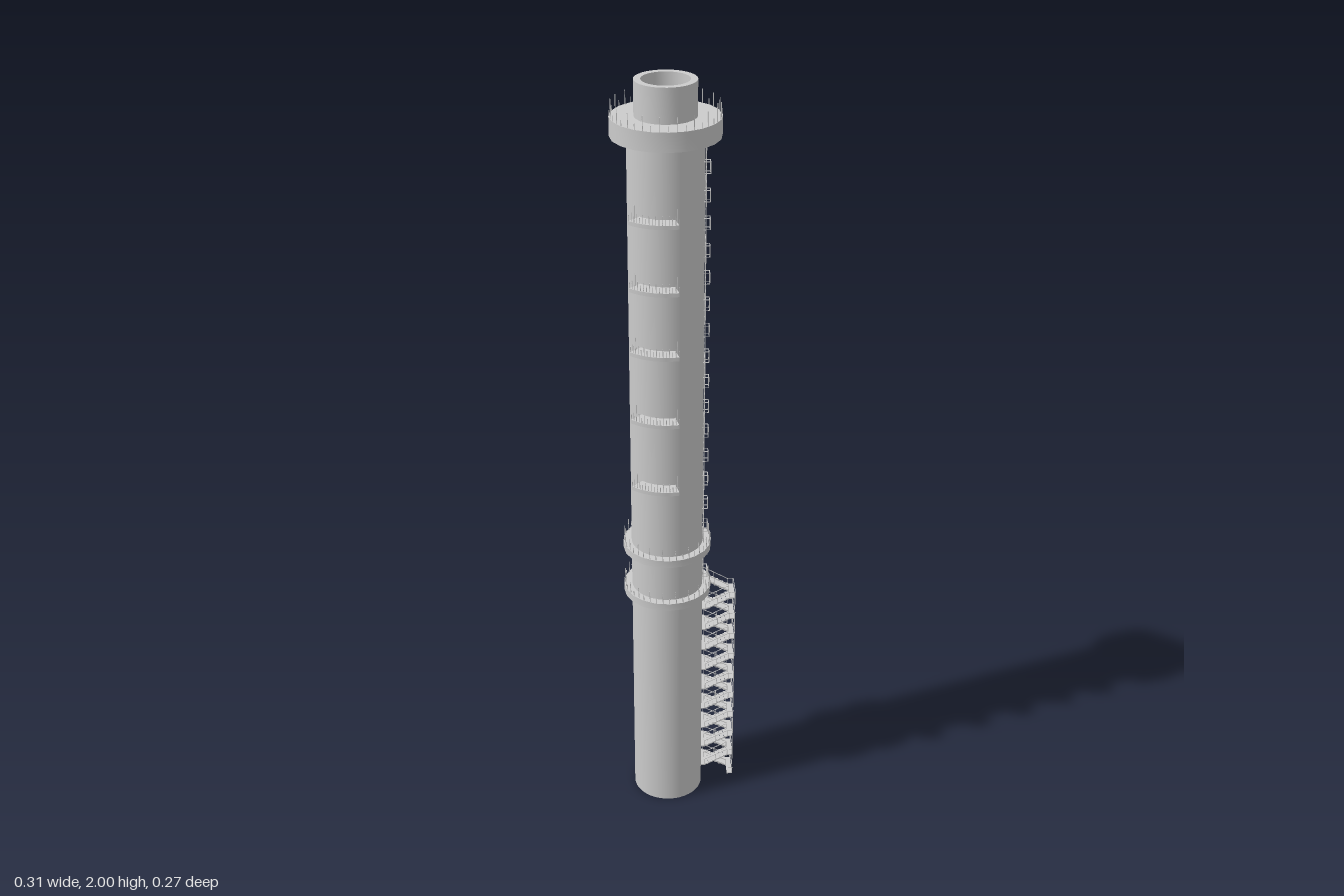
import * as THREE from 'three';
import { toCreasedNormals } from 'three/addons/utils/BufferGeometryUtils.js';

const material = new THREE.MeshStandardMaterial({ color: 0xcccccc, side: THREE.DoubleSide });
const AXIS_X = -0.027;
const leanZ = (y) => 0.01 * (1 - y / 1.9); // the shaft leans very slightly

function add(parent, name, geometry, x = 0, y = 0, z = 0) {
  const mesh = new THREE.Mesh(geometry, material);
  mesh.name = name;
  mesh.position.set(x, y, z);
  parent.add(mesh);
  return mesh;
}

function box(parent, name, size, pos) {
  return add(parent, name, new THREE.BoxGeometry(...size), ...pos);
}

// Straight bar between two points
function bar(parent, name, a, b, width) {
  const from = new THREE.Vector3(...a), to = new THREE.Vector3(...b);
  const mesh = box(parent, name, [width, width, from.distanceTo(to)], from.clone().add(to).multiplyScalar(0.5).toArray());
  mesh.lookAt(to);
  return mesh;
}

// Lathe of a closed or open profile, with sharp edges kept
function turned(profile, sides, start = 0, sweep = Math.PI * 2) {
  const points = profile.map(([r, y]) => new THREE.Vector2(r, y));
  return toCreasedNormals(new THREE.LatheGeometry(points, sides, start, sweep), 0.6);
}

// Curved railing: posts and two rails; angles are measured from +z towards +x
function railing(parent, radius, height, start, sweep, posts) {
  const group = new THREE.Group();
  group.name = 'railing';
  parent.add(group);
  const at = (i, y) => {
    const a = start + (sweep * i) / posts;
    return [radius * Math.sin(a), y, radius * Math.cos(a)];
  };
  for (let i = 0; i <= posts; i++) {
    bar(group, 'railingPost', at(i, 0), at(i, height), 0.0016);
    if (i === posts) break;
    for (const y of [height * 0.55, height]) bar(group, 'railingRail', at(i, y), at(i + 1, y), 0.0014);
  }
  return group;
}

// Ring-shaped walkway around the shaft, base at y
function platform(parent, name, y, inner, outer, thickness, railHeight, start = 0, sweep = Math.PI * 2, sides = 20) {
  const group = new THREE.Group();
  group.name = name;
  group.position.set(AXIS_X, y, leanZ(y));
  parent.add(group);
  const ring = [[inner, 0], [outer, 0], [outer, thickness], [inner, thickness], [inner, 0]];
  add(group, 'deck', turned(ring, sides, start, sweep));
  railing(group, outer - 0.002, railHeight, start, sweep, sides).position.y = thickness;
  return group;
}

// Inclined flight with treads, stringers and handrails, from (x0,y0) to (x1,y1)
function flight(parent, x0, y0, x1, y1, zMid, width) {
  const group = new THREE.Group();
  group.name = 'stairFlight';
  parent.add(group);
  const steps = 6;
  for (let i = 0; i < steps; i++) {
    const t = (i + 0.5) / steps;
    box(group, 'tread', [Math.abs(x1 - x0) / steps, 0.0025, width],
      [x0 + (x1 - x0) * t, y0 + (y1 - y0) * t, zMid]);
  }
  for (const side of [-1, 1]) {
    const z = zMid + side * (width / 2 - 0.001);
    bar(group, 'stringer', [x0, y0, z], [x1, y1, z], 0.003);
    bar(group, 'handrail', [x0, y0 + 0.018, z], [x1, y1 + 0.018, z], 0.0015);
    for (const t of [0, 0.5, 1]) {
      const x = x0 + (x1 - x0) * t, y = y0 + (y1 - y0) * t;
      bar(group, 'handrailPost', [x, y, z], [x, y + 0.018, z], 0.0015);
    }
  }
}

function createStairs(parent) {
  const stairs = new THREE.Group();
  stairs.name = 'switchbackStairs';
  parent.add(stairs);
  const rise = 0.0655, inX = 0.076, outX = 0.14, endX = 0.155;
  const backZ = -0.05, frontZ = -0.015, lane = 0.034, midZ = -0.0325, depth = 0.07;
  for (let k = 0; k <= 9; k++) {
    const y = k * rise + 0.002;
    // Outer landing with its guard rail
    box(stairs, 'outerLanding', [endX - outX, 0.003, depth], [(endX + outX) / 2, y, midZ]);
    bar(stairs, 'landingRail', [endX, y + 0.018, midZ - depth / 2], [endX, y + 0.018, midZ + depth / 2], 0.0015);
    for (const s of [-1, 1]) {
      const z = midZ + (s * depth) / 2;
      bar(stairs, 'landingRail', [outX, y + 0.018, z], [endX, y + 0.018, z], 0.0015);
    }
    if (k === 9) {
      flight(stairs, outX, y, 0.062, 0.637, backZ, lane); // last flight meets the walkway
      break;
    }
    // Inner landing against the shaft and the two flights of this storey
    box(stairs, 'innerLanding', [0.022, 0.003, depth], [inX - 0.011, y + rise / 2, midZ]);
    flight(stairs, outX, y, inX, y + rise / 2, backZ, lane);
    flight(stairs, inX, y + rise / 2, outX, y + rise, frontZ, lane);
  }
  for (const s of [-1, 1]) {
    const z = midZ + s * (depth / 2 - 0.001);
    bar(stairs, 'stairPost', [endX - 0.001, 0, z], [endX - 0.001, 0.608, z], 0.002);
  }
}

function createLadder(parent) {
  const ladder = new THREE.Group();
  ladder.name = 'ladder';
  parent.add(ladder);
  const z0 = 0.014, z1 = 0.032;
  for (const z of [z0, z1]) bar(ladder, 'ladderStile', [0.066, 0.66, z], [0.066, 1.87, z], 0.0015);
  for (let y = 0.675; y < 1.86; y += 0.069 / 4) bar(ladder, 'rung', [0.066, y, z0], [0.066, y, z1], 0.0015);
  // Safety cage sections
  for (let y = 0.68; y < 1.83; y += 0.069) {
    for (const z of [z0, (z0 + z1) / 2, z1]) box(ladder, 'cageStrap', [0.0015, 0.028, 0.002], [0.076, y + 0.014, z]);
    for (const h of [0, 0.028]) {
      bar(ladder, 'cageHoop', [0.076, y + h, z0], [0.076, y + h, z1], 0.0015);
      for (const z of [z0, z1]) bar(ladder, 'cageHoop', [0.06, y + h, z], [0.076, y + h, z], 0.0015);
    }
  }
}

export function createModel() {
  const model = new THREE.Group();
  model.name = 'chimney';

  // Open main shaft, sheared to lean
  const shaft = new THREE.CylinderGeometry(0.0925, 0.0925, 1.88, 40, 1, true).translate(0, 0.94, 0);
  const p = shaft.attributes.position;
  for (let i = 0; i < p.count; i++) p.setZ(i, p.getZ(i) + leanZ(p.getY(i)));
  add(model, 'shaft', shaft, AXIS_X);

  // Crown collar and its railing
  platform(model, 'crown', 1.868, 0.0745, 0.132, 0.047, 0.014);

  // Hollow flue pipe
  add(model, 'fluePipe', turned([[0.058, 1.868], [0.0745, 1.868], [0.0745, 2], [0.058, 2], [0.058, 1.868]], 32), AXIS_X, 0, -0.001);

  // Full walkways
  platform(model, 'lowerWalkway', 0.635, 0.09, 0.114, 0.02, 0.015);
  platform(model, 'upperWalkway', 0.765, 0.09, 0.114, 0.02, 0.015);

  // Small curved balconies
  const start = -Math.PI / 4, sweep = 0.97;
  for (const y of [0.985, 1.172, 1.353, 1.518, 1.685]) {
    const balcony = platform(model, 'balcony', y, 0.088, 0.131, 0.01, 0.014, start, sweep, 8);
    for (const a of [start, start + sweep]) {
      const end = (r, h) => [r * Math.sin(a), h, r * Math.cos(a)];
      bar(balcony, 'endRail', end(0.092, 0.024), end(0.129, 0.024), 0.0015);
      add(balcony, 'deckEnd', new THREE.PlaneGeometry(0.043, 0.01), ...end(0.1095, 0.005)).rotation.y = a - Math.PI / 2;
    }
  }

  createStairs(model);
  createLadder(model);
  return model;
}
